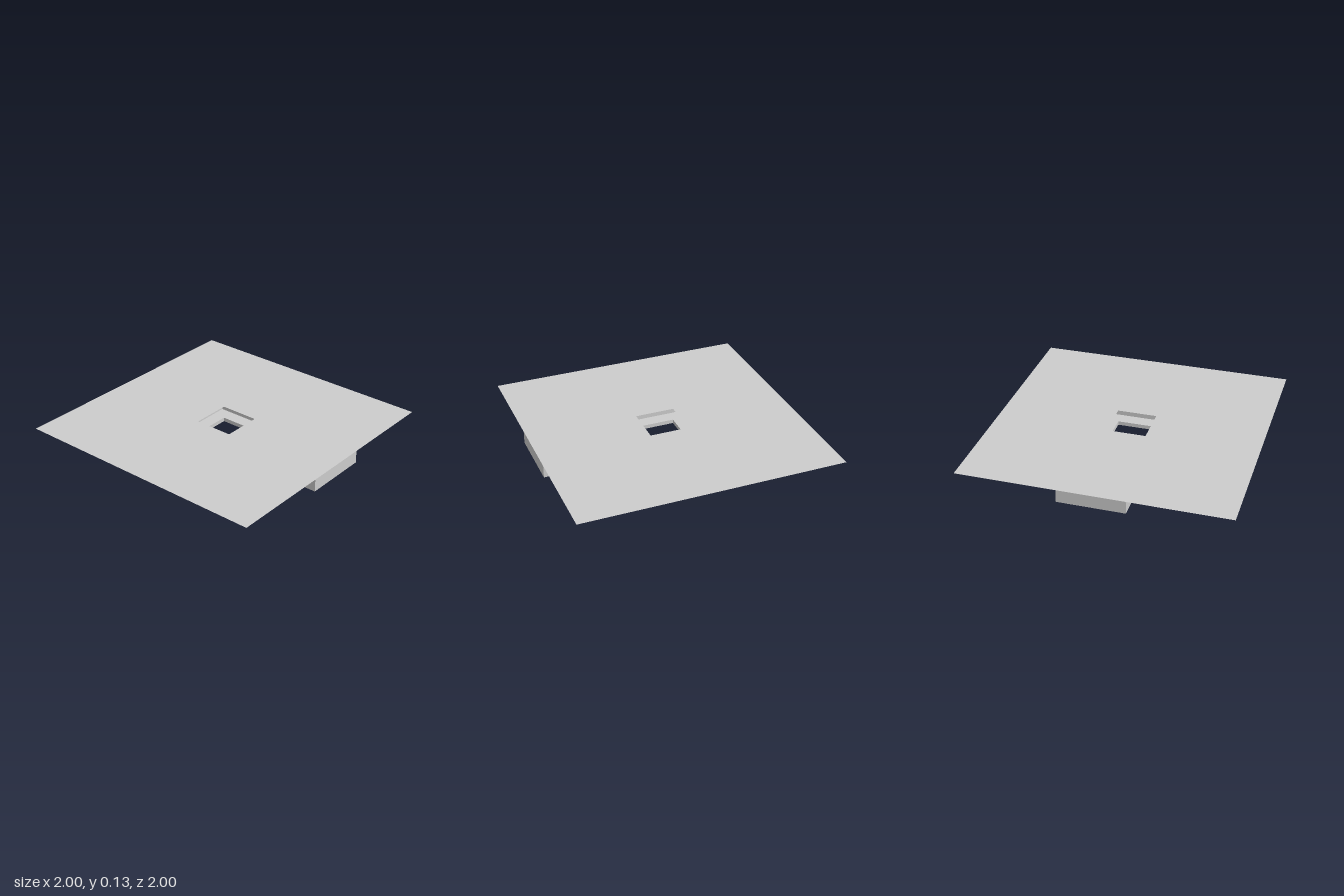
import * as THREE from 'three';

const TOP = 0.126, FLOOR = 0.03, HOLE = 0.15, HALF = 0.25;

export function createModel() {
  const group = new THREE.Group();
  const grey = new THREE.MeshStandardMaterial({ color: 0xcccccc, side: THREE.DoubleSide });
  grey.name = 'pale grey';

  const add = (name, geometry, x, y, z) => {
    const mesh = new THREE.Mesh(geometry, grey);
    mesh.name = name;
    mesh.position.set(x, y, z);
    group.add(mesh);
  };

  // Horizontal sheet with a square opening in the middle
  const sheet = (name, halfX, halfZ, y) => {
    const rect = (Type, a, b) => new Type([[-a, -b], [a, -b], [a, b], [-a, b]]
      .map(([u, v]) => new THREE.Vector2(u, v)));
    const shape = rect(THREE.Shape, halfX, halfZ);
    shape.holes.push(rect(THREE.Path, HOLE, HOLE));
    add(name, new THREE.ShapeGeometry(shape).rotateX(-Math.PI / 2), 0, y, 0);
  };

  // Mirrored pairs of upright sheets
  const endWalls = (name, x, halfZ, y0, y1) => {
    for (const s of [-1, 1]) {
      const wall = new THREE.PlaneGeometry(2 * halfZ, y1 - y0).rotateY(s * Math.PI / 2);
      add(name, wall, s * x, (y0 + y1) / 2, 0);
    }
  };
  const sideWalls = (name, halfX, z, y0, y1) => {
    for (const s of [-1, 1]) {
      const wall = new THREE.PlaneGeometry(2 * halfX, y1 - y0);
      if (s < 0) wall.rotateY(Math.PI);
      add(name, wall, 0, (y0 + y1) / 2, s * z);
    }
  };

  // Broad panel over a hollow channel
  sheet('topPanel', 1, 1, TOP);
  sheet('channelFloor', 1, HALF, FLOOR);
  sideWalls('channelSide', 1, HALF, FLOOR, TOP);
  endWalls('channelEnd', 1, HALF, FLOOR, TOP);

  // Partitions closing the chamber around the opening
  endWalls('chamberPartition', HALF, HALF, FLOOR, TOP);

  // Short open collar below the channel
  sideWalls('collarSide', HOLE, HOLE, 0, FLOOR);
  endWalls('collarEnd', HOLE, HOLE, 0, FLOOR);

  return group;
}
